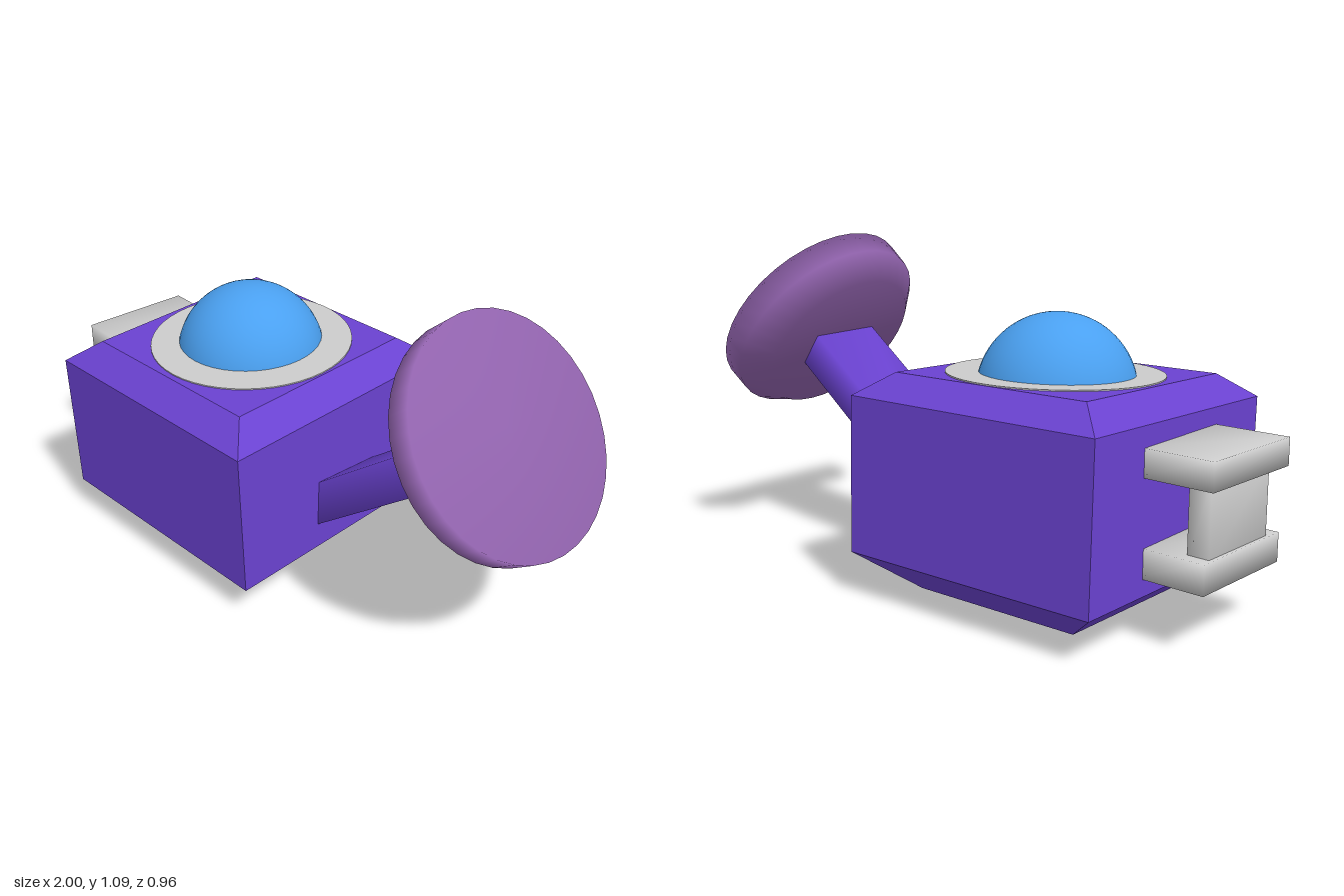
import * as THREE from 'three';
import { mergeVertices } from 'three/addons/utils/BufferGeometryUtils.js';

const mat = (color, opts = {}) => new THREE.MeshStandardMaterial({ color, ...opts });
const PURPLE = 0x6a42d0;
const grey = mat(0xcccccc);

function add(parent, name, geometry, material, x = 0, y = 0, z = 0) {
  const mesh = new THREE.Mesh(geometry, material);
  mesh.name = name;
  mesh.position.set(x, y, z);
  parent.add(mesh);
  return mesh;
}

// Box whose corners share averaged normals, for soft shading
function softBox(w, h, d) {
  const box = new THREE.BoxGeometry(w, h, d);
  box.deleteAttribute('normal');
  box.deleteAttribute('uv');
  const merged = mergeVertices(box);
  merged.computeVertexNormals();
  return merged;
}

const lathe = (points, segments, start = 0) =>
  new THREE.LatheGeometry(points.map(([r, y]) => new THREE.Vector2(r, y)), segments, start);

export function createModel() {
  const model = new THREE.Group();

  // Slightly turned and tilted body with its dome
  const body = new THREE.Group();
  body.name = 'bodyGroup';
  body.position.set(-0.32, 0.011, -0.01);
  body.rotation.set(0.026, 0.056, 0);
  model.add(body);

  // Four-sided block, chamfered above and below: [half width, height]
  const levels = [[0, 0], [0.29, 0], [0.448, 0.122], [0.448, 0.617], [0.352, 0.689], [0, 0.689]];
  add(body, 'body', lathe(levels.map(([h, y]) => [h * Math.SQRT2, y]), 4, Math.PI / 4),
    mat(PURPLE, { flatShading: true }));
  add(body, 'domeRing', new THREE.CylinderGeometry(0.34, 0.34, 0.012, 48), grey, 0.005, 0.687, -0.008);
  add(body, 'dome', new THREE.SphereGeometry(0.25, 40, 20, 0, Math.PI * 2, 0, Math.PI / 2),
    mat(0x4aa0f0), -0.008, 0.63, -0.015);

  // Side bracket: two plates joined by an upright
  const bracket = new THREE.Group();
  bracket.name = 'bracket';
  model.add(bracket);
  add(bracket, 'upperPlate', softBox(0.25, 0.085, 0.395), grey, -0.875, 0.527, 0.022);
  add(bracket, 'lowerPlate', softBox(0.225, 0.09, 0.395), grey, -0.863, 0.235, 0.03);
  add(bracket, 'upright', softBox(0.07, 0.25, 0.3), grey, -0.93, 0.38, 0.022);

  // Raised arm and disc head share one axis (local y)
  const arm = new THREE.Group();
  arm.name = 'armGroup';
  arm.position.set(0.706, 0.753, -0.057);
  const axis = new THREE.Vector3(0.792, 0.61, -0.03).normalize();
  arm.quaternion.setFromUnitVectors(new THREE.Vector3(0, 1, 0), axis);
  model.add(arm);
  add(arm, 'arm', softBox(0.13, 0.8, 0.255), mat(PURPLE), 0.01, -0.45, 0);
  add(arm, 'discHead', lathe([[0, -0.082], [0.288, -0.082], [0.362, -0.005], [0.366, 0.084], [0, 0.088]], 36),
    mat(0x9062ac));

  return model;
}
